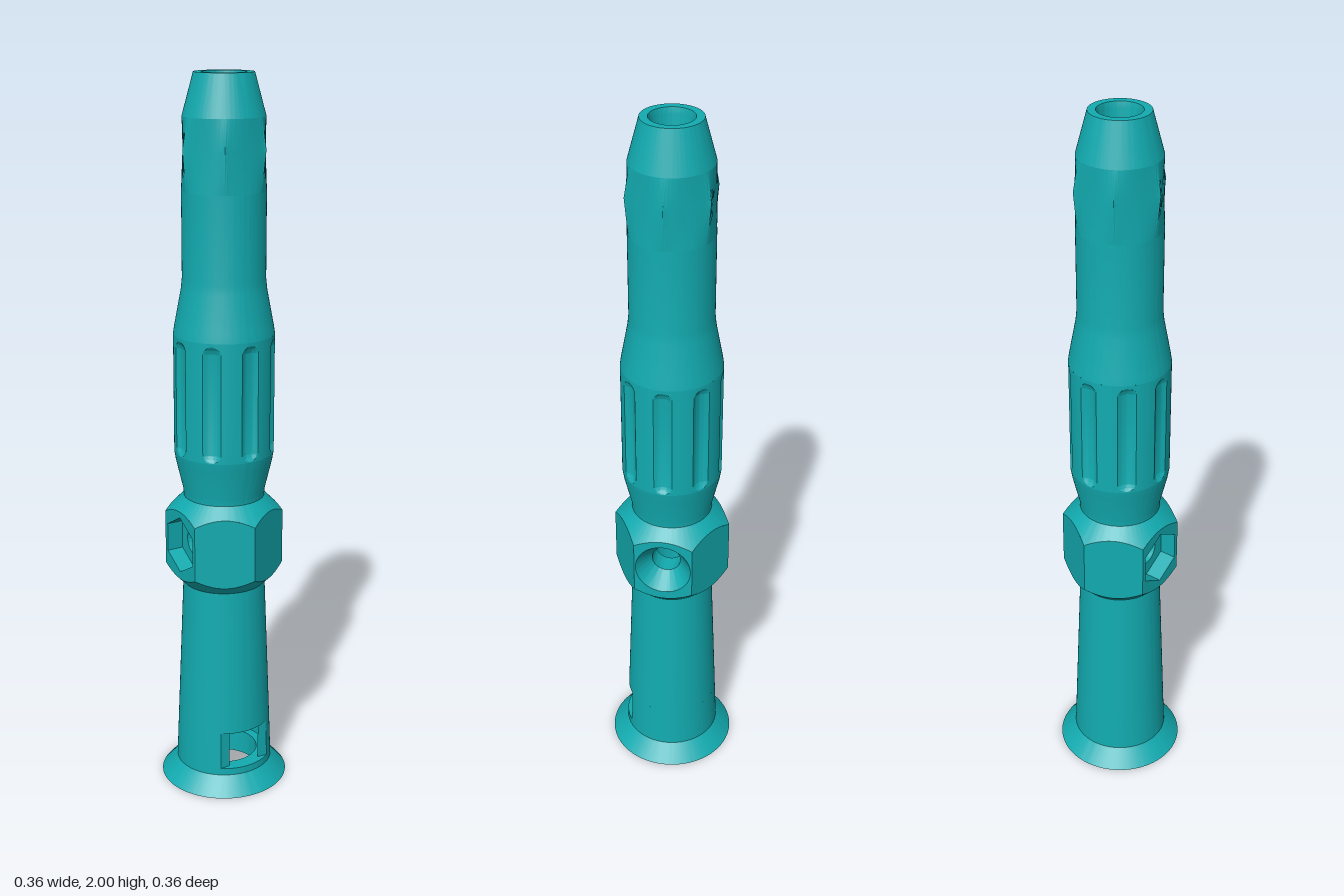
import * as THREE from 'three';
import { toCreasedNormals } from 'three/addons/utils/BufferGeometryUtils.js';

const teal = new THREE.MeshStandardMaterial({ color: 0x12abb0, side: THREE.DoubleSide });
teal.name = 'teal';
const DEG = Math.PI / 180;

// Radius of a hexagon at angle a, with a corner where a + offset is a multiple of 60 degrees
function hexRadius(a, apothem, offset) {
  const m = ((a / DEG + offset) % 60) - 30;
  return apothem / Math.cos(m * DEG);
}

// Surface through rings around the y axis; each ring maps an angle to [radius, y]
function loft(rings, n = 120) {
  const pos = [], idx = [];
  rings.forEach((ring, j) => {
    for (let i = 0; i < n; i++) {
      const a = (i / n) * Math.PI * 2;
      const [r, y] = ring(a);
      pos.push(r * Math.sin(a), y, r * Math.cos(a));
      if (j === 0) continue;
      const k = (i + 1) % n, lo = (j - 1) * n, hi = j * n;
      idx.push(lo + i, lo + k, hi + k, lo + i, hi + k, hi + i);
    }
  });
  const g = new THREE.BufferGeometry();
  g.setAttribute('position', new THREE.Float32BufferAttribute(pos, 3));
  g.setIndex(idx);
  return g;
}

const turned = (points) => loft(points.map((p) => () => p));

export function createModel() {
  const model = new THREE.Group();
  const add = (name, geometry, parent = model) => {
    const mesh = new THREE.Mesh(toCreasedNormals(geometry, 0.45), teal);
    mesh.name = name;
    parent.add(mesh);
    return mesh;
  };
  const barrelRadius = (y) => 0.137 - (y - 0.05) * 0.0386;

  // Flared foot with an open mouth
  add('foot', turned([[0.095, 0.07], [0.095, 0], [0.181, 0], [0.137, 0.05],
    [barrelRadius(0.07), 0.07], [0.095, 0.07]]));

  // Barrel band cut flat at the front, opening into the chamber
  const R = 0.134, bore = 0.12, cut = 0.11;
  const a0 = Math.asin(cut / R), a1 = Math.asin(cut / bore);
  const section = new THREE.Shape();
  section.absarc(0, 0, R, -a0, Math.PI + a0, false);
  section.absarc(0, 0, bore, Math.PI + a1, -a1, true);
  section.closePath();
  const band = new THREE.ExtrudeGeometry(section, { depth: 0.11, bevelEnabled: false, curveSegments: 60 });
  band.rotateX(-Math.PI / 2).translate(0, 0.07, 0);
  const p = band.attributes.position;
  for (let i = 0; i < p.count; i++) {
    if (Math.hypot(p.getX(i), p.getZ(i)) < 0.13) continue;
    const s = barrelRadius(p.getY(i)) / R;
    p.setX(i, p.getX(i) * s);
    p.setZ(i, p.getZ(i) * s);
  }
  add('windowBand', band);

  // Tapered barrel
  add('barrel', turned([[bore, 0.18], [barrelRadius(0.18), 0.18], [0.115, 0.61]]));

  // Hexagonal collar: conical chamfers meet the six flats in arcs
  const collarTop = (r) => 0.974 - r, collarBottom = (r) => 0.491 + r;
  const apothem = 0.142, midY = 0.735;
  const collarHex = (a) => hexRadius(a, apothem, 0);
  add('collarLowerChamfer', loft([() => [0.115, 0.606], (a) => [collarHex(a), collarBottom(collarHex(a))]]));
  add('collarUpperChamfer', loft([(a) => [collarHex(a), collarTop(collarHex(a))], () => [0.112, 0.862]]));

  const half = apothem * Math.tan(30 * DEG);
  const hexPoints = [];
  for (let i = 0; i < 6; i++) {
    const a = (30 + 60 * i) * DEG;
    hexPoints.push(new THREE.Vector2(0.08 * Math.cos(a), 0.08 * Math.sin(a)));
  }
  for (let f = 0; f < 6; f++) {
    const pts = [];
    for (let i = 0; i <= 20; i++) {
      const t = -half + (2 * half * i) / 20;
      pts.push(new THREE.Vector2(t, collarBottom(Math.hypot(apothem, t)) - midY));
    }
    for (let i = 20; i >= 0; i--) {
      const t = -half + (2 * half * i) / 20;
      pts.push(new THREE.Vector2(t, collarTop(Math.hypot(apothem, t)) - midY));
    }
    const face = new THREE.Shape(pts);
    const angle = 30 + 60 * f;
    if (angle === 90) face.holes.push(new THREE.Path().absarc(0, 0, 0.078, 0, Math.PI * 2, true));
    if (angle === 270) face.holes.push(new THREE.Path(hexPoints));
    const g = new THREE.ShapeGeometry(face, 32);
    g.translate(0, midY, apothem).rotateY(angle * DEG);
    add('collarFlat', g);
  }

  // Countersunk screw hole on the left, six-sided nut pocket on the right
  const sideways = (g, sign) => g.rotateX(Math.PI / 2).rotateY(sign * Math.PI / 2).translate(0, midY, 0);
  add('countersink', sideways(turned([[0.04, 0.036], [0.04, 0.09], [0.078, apothem]]), 1));
  add('pinHole', sideways(turned([[0.04, 0.036], [0.04, 0.095]]), -1));
  const pocketWall = loft([0.095, apothem].map((y) => (a) => [hexRadius(a, 0.08 * Math.cos(30 * DEG), 0), y]));
  add('nutPocketWall', sideways(pocketWall, -1));
  const floor = new THREE.Shape(hexPoints);
  floor.holes.push(new THREE.Path().absarc(0, 0, 0.04, 0, Math.PI * 2, true));
  const floorGeometry = new THREE.ShapeGeometry(floor, 32);
  add('nutPocketFloor', floorGeometry.translate(0, midY, 0.095).rotateY(-Math.PI / 2));

  // Grip swelling
  add('gripLowerTaper', turned([[0.112, 0.862], [0.113, 0.88], [0.133, 0.965], [0.137, 0.99]]));
  add('gripUpperTaper', turned([[0.137, 1.32], [0.134, 1.34], [0.115, 1.44], [0.112, 1.47], [0.112, 1.7]]));

  // Eight round-ended flutes sunk into the grip
  const halfAngle = 10.5 * DEG, halfWidth = 0.137 * halfAngle;
  const flutes = [];
  const addFluteRing = (y) => flutes.push((a) => {
    const step = 45 * DEG;
    const across = (a - Math.round(a / step) * step) * 0.137;
    const along = Math.max(0, 1.018 - y, y - 1.285);
    const d = Math.hypot(across, along) / halfWidth;
    return [0.137 - 0.012 * Math.max(0, 1 - d * d), y];
  });
  for (let i = 0; i <= 12; i++) addFluteRing(0.99 + (0.028 * i) / 12);
  for (let i = 0; i <= 12; i++) addFluteRing(1.285 + (0.035 * i) / 12);
  add('flutedGrip', loft(flutes, 240));

  // Neck bulge blending from round to hexagonal and back
  add('hexBulge', loft([
    () => [0.112, 1.7],
    (a) => [hexRadius(a, 0.107, 30), 1.81],
    () => [0.109, 1.89],
  ]));

  // Tapered tip with its rim and the upper bore
  add('tip', turned([[0.109, 1.89], [0.079, 2], [0.058, 2], [0.055, 1.985], [0.055, 0.775]]));

  // Lower bore: chamber narrowing to the passage
  add('chamber', turned([[bore, 0.18], [bore, 0.2], [0.055, 0.3], [0.055, 0.695]]));

  // Bore walls either side of the cross hole
  for (const start of [-43, 137]) {
    const wall = new THREE.CylinderGeometry(0.055, 0.055, 0.08, 24, 1, true, start * DEG, 86 * DEG);
    add('boreWall', wall.translate(0, midY, 0));
  }
  return model;
}
